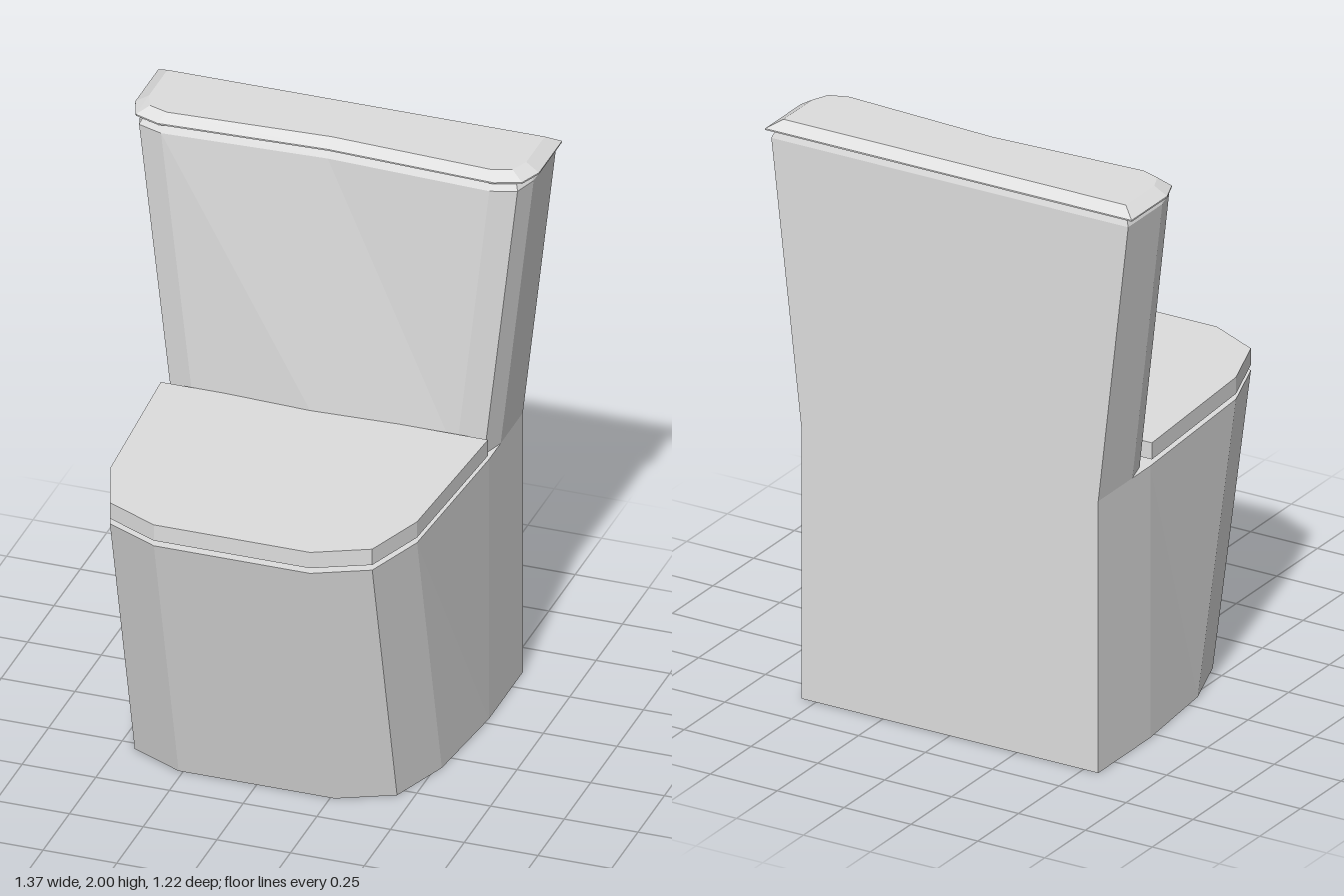
import * as THREE from 'three';

// Half outlines run from the back to the front on the +x side, as [x, z]
function mirrorOutline(half) {
  const left = half.filter(([x]) => x > 0).map(([x, z]) => [-x, z]).reverse();
  return [...half, ...left];
}

// Skins stacked rings { y, half } and closes the requested ends
function loft(rings, { bottom = false, top = false } = {}) {
  const loops = rings.map(({ y, half }) =>
    mirrorOutline(half).map(([x, z]) => new THREE.Vector3(x, y, z)));
  const pos = [];
  const tri = (...pts) => pts.forEach((p) => pos.push(p.x, p.y, p.z));
  for (let r = 0; r < loops.length - 1; r++) {
    const lo = loops[r], hi = loops[r + 1], n = lo.length;
    for (let i = 0; i < n; i++) {
      const j = (i + 1) % n;
      tri(lo[i], hi[j], lo[j]);
      tri(lo[i], hi[i], hi[j]);
    }
  }
  const cap = (loop, up) => {
    const flat = loop.map((p) => new THREE.Vector2(p.x, p.z));
    for (const [a, b, c] of THREE.ShapeUtils.triangulateShape(flat, [])) {
      const facesUp = THREE.ShapeUtils.area([flat[a], flat[b], flat[c]]) < 0;
      if (facesUp === up) tri(loop[a], loop[b], loop[c]);
      else tri(loop[a], loop[c], loop[b]);
    }
  };
  if (bottom) cap(loops[0], false);
  if (top) cap(loops[loops.length - 1], true);
  const geo = new THREE.BufferGeometry();
  geo.setAttribute('position', new THREE.Float32BufferAttribute(pos, 3));
  geo.computeVertexNormals();
  return geo;
}

export function createModel() {
  const group = new THREE.Group();
  const ceramic = new THREE.MeshStandardMaterial({
    name: 'white ceramic', color: 0xdedede, side: THREE.DoubleSide, flatShading: true,
  });
  const add = (name, geo) => {
    const mesh = new THREE.Mesh(geo, ceramic);
    mesh.name = name;
    group.add(mesh);
  };

  // Pedestal bowl: front leans forward, underside is open
  const bowl = (shift) => [
    [0.555, -0.6], [0.555, -0.28], [0.52, 0.305 - shift], [0.445, 0.52 - shift], [0.265, 0.607 - shift],
  ];
  add('bowl', loft([{ y: 0, half: bowl(0.235) }, { y: 0.953, half: bowl(0) }], { top: true }));

  // Thin inset seat under the lid
  const seat = [[0.49, -0.23], [0.47, 0.28], [0.4, 0.47], [0.24, 0.55]];
  add('seat', loft([{ y: 0.953, half: seat }, { y: 0.975, half: seat }]));

  // Closed seat lid
  const lid = [[0.555, -0.27], [0.52, 0.305], [0.445, 0.52], [0.265, 0.607]];
  add('seatLid', loft([{ y: 0.972, half: lid }, { y: 1.03, half: lid }], { bottom: true, top: true }));

  // Cistern: widens upward, its front bulges below and dips inward above
  const tank = (side, back, front, centre) => [
    [side, back], [side, -0.39], [side - 0.025, front - 0.03], [side - 0.11, front], [0, centre],
  ];
  add('cistern', loft([
    { y: 0.953, half: tank(0.555, -0.6, -0.275, -0.255) },
    { y: 1.94, half: tank(0.667, -0.6, -0.277, -0.302) },
    { y: 1.97, half: tank(0.655, -0.59, -0.295, -0.32) },
  ]));

  // Cistern cover with bevelled rim
  const rim = [[0.685, -0.609], [0.685, -0.39], [0.655, -0.312], [0.57, -0.28], [0, -0.305]];
  const crown = [[0.64, -0.57], [0.64, -0.395], [0.615, -0.335], [0.55, -0.312], [0, -0.34]];
  add('cisternCover', loft([{ y: 1.967, half: rim }, { y: 1.972, half: rim }, { y: 2, half: crown }],
    { bottom: true, top: true }));

  return group;
}
